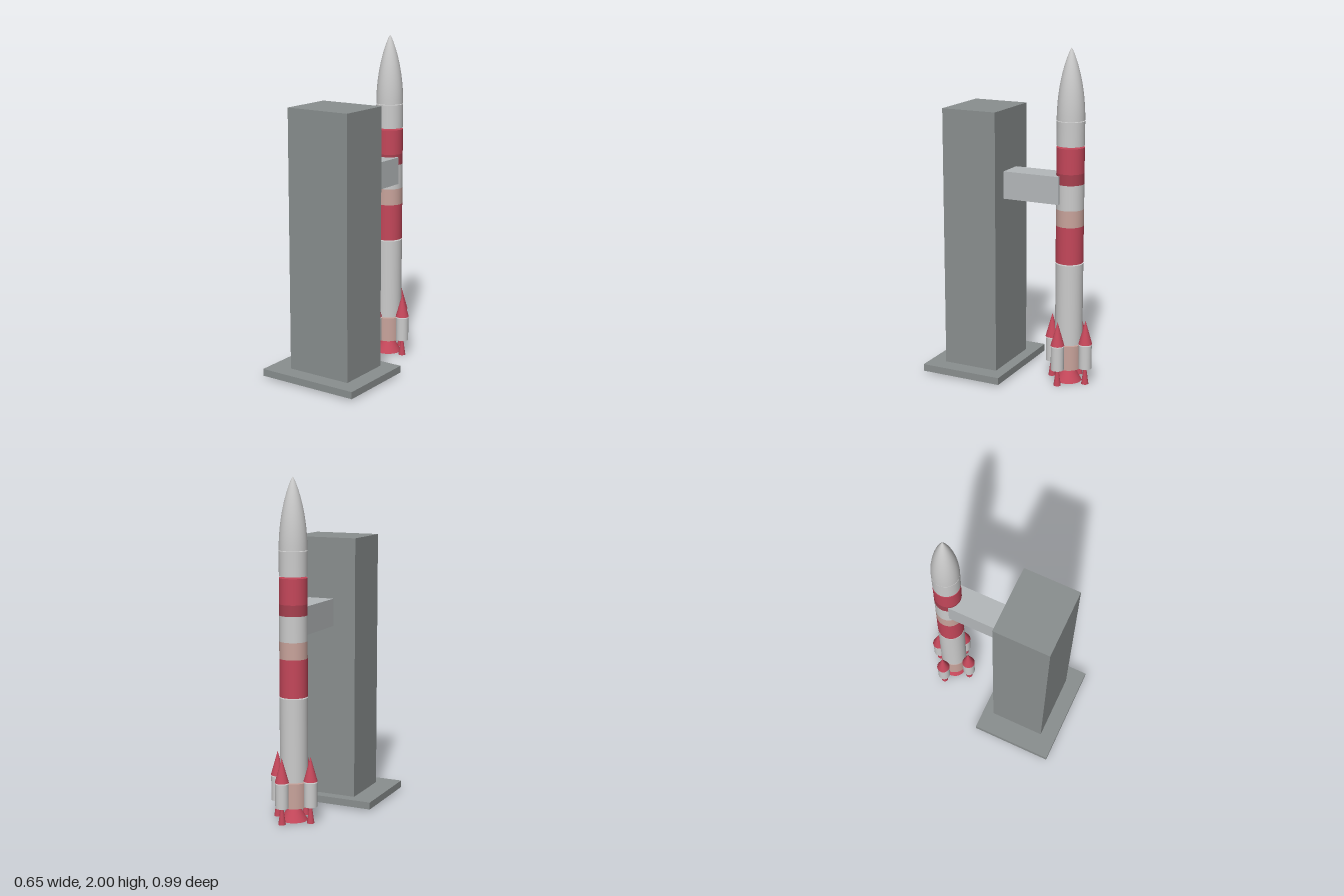
import * as THREE from 'three';

const mat = (color, extra = {}) => new THREE.MeshStandardMaterial({ color, ...extra });
const grey = mat(0xcccccc);
const red = mat(0xc4475a);
const darkRed = mat(0xa8404f);
const pink = mat(0xc9a49c);
const towerGrey = mat(0x8a8f8f);
const armGrey = mat(0xb4b8ba);

function add(parent, name, geometry, material) {
  const mesh = new THREE.Mesh(geometry, material);
  mesh.name = name;
  parent.add(mesh);
  return mesh;
}

// Box given by its limits along each axis
function box(parent, name, [x0, x1], [y0, y1], [z0, z1], material) {
  const mesh = add(parent, name, new THREE.BoxGeometry(x1 - x0, y1 - y0, z1 - z0), material);
  mesh.position.set((x0 + x1) / 2, (y0 + y1) / 2, (z0 + z1) / 2);
}

// Upright cylinder or cone between two heights
function tube(parent, name, y0, y1, rBottom, rTop, material) {
  const mesh = add(parent, name, new THREE.CylinderGeometry(rTop, rBottom, y1 - y0, 32), material);
  mesh.position.y = (y0 + y1) / 2;
}

function createBooster() {
  const booster = new THREE.Group();
  booster.name = 'booster';
  tube(booster, 'boosterNozzle', 0, 0.1, 0.022, 0.008, red);
  tube(booster, 'boosterBody', 0.1, 0.245, 0.039, 0.039, grey);
  tube(booster, 'boosterNose', 0.252, 0.397, 0.041, 0, red);
  return booster;
}

function createRocket() {
  const rocket = new THREE.Group();
  rocket.name = 'rocket';
  const R = 0.082;

  // Stacked body sections, with narrow gaps between the stages
  const sections = [
    ['engineSection', 0.085, 0.235, pink],
    ['lowerStage', 0.242, 0.735, grey],
    ['lowerRedBand', 0.742, 0.965, red],
    ['pinkBand', 0.965, 1.065, pink],
    ['middleStage', 1.065, 1.215, grey],
    ['darkRedBand', 1.215, 1.28, darkRed],
    ['upperRedBand', 1.28, 1.43, red],
    ['upperStage', 1.44, 1.583, grey],
  ];
  for (const [name, y0, y1, material] of sections) tube(rocket, name, y0, y1, R, R, material);
  tube(rocket, 'mainNozzle', 0, 0.085, 0.08, 0.032, red);

  // Rounded, slender nose
  const y0 = 1.587, h = 2 - y0;
  const profile = [new THREE.Vector2(0, y0), new THREE.Vector2(R, y0)];
  for (let i = 0; i <= 20; i++) {
    const t = Math.sin((i / 20) * Math.PI / 2);
    profile.push(new THREE.Vector2(R * Math.pow(Math.max(0, 1 - t * t), 0.85), y0 + h * t));
  }
  add(rocket, 'noseCone', new THREE.LatheGeometry(profile, 32), grey);

  // Four boosters, slightly turned from the main axes
  for (let i = 0; i < 4; i++) {
    const a = 0.12 + i * Math.PI / 2 + 0.05;
    const booster = createBooster();
    booster.position.set(Math.cos(a) * 0.119, 0, Math.sin(a) * 0.119);
    rocket.add(booster);
  }
  return rocket;
}

export function createModel() {
  const model = new THREE.Group();
  model.name = 'rocketAndLaunchTower';

  // Launch tower
  box(model, 'basePlate', [-0.323, 0.323], [0.012, 0.055], [-0.017, 0.496], towerGrey);
  box(model, 'tower', [-0.191, 0.222], [0, 1.63], [0.05, 0.396], towerGrey);
  box(model, 'supportArm', [-0.05, 0.113], [1.1, 1.265], [-0.305, 0.05], armGrey);

  const rocket = createRocket();
  rocket.position.set(0.023, 0, -0.339);
  model.add(rocket);
  return model;
}
